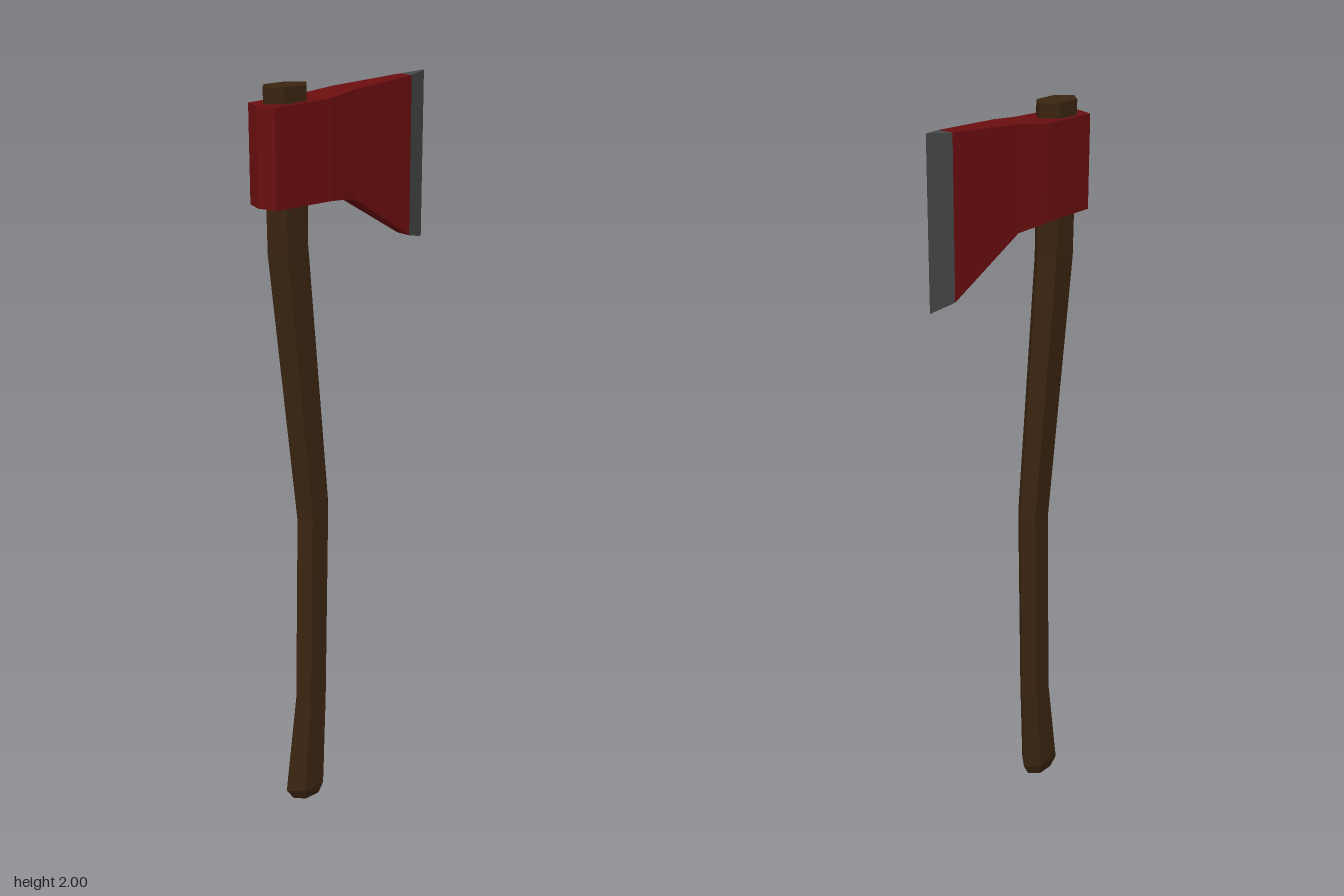
import * as THREE from 'three';

const material = (name, color) => {
  const m = new THREE.MeshStandardMaterial({ color, flatShading: true });
  m.name = name;
  return m;
};

// Faceted skin over a list of rings; rings run counter-clockwise seen from the far end.
function loft(rings, capped) {
  const pos = [];
  const tri = (a, b, c) => {
    const ab = new THREE.Vector3().subVectors(b, a);
    const ac = new THREE.Vector3().subVectors(c, a);
    if (ab.cross(ac).length() > 1e-9) for (const p of [a, b, c]) pos.push(p.x, p.y, p.z);
  };
  for (let i = 0; i < rings.length - 1; i++) {
    const lower = rings[i], upper = rings[i + 1], n = lower.length;
    for (let j = 0; j < n; j++) {
      const k = (j + 1) % n;
      tri(lower[j], lower[k], upper[k]);
      tri(lower[j], upper[k], upper[j]);
    }
  }
  if (capped) {
    const first = rings[0], last = rings[rings.length - 1];
    for (let j = 1; j < first.length - 1; j++) {
      tri(first[0], first[j + 1], first[j]);
      tri(last[0], last[j], last[j + 1]);
    }
  }
  const geometry = new THREE.BufferGeometry();
  geometry.setAttribute('position', new THREE.Float32BufferAttribute(pos, 3));
  geometry.computeVertexNormals();
  return geometry;
}

// Six-sided handle section: back and front corners in x, with flats on both sides.
function handleRing([yBack, yFront, x0, x1, half]) {
  const at = (t, z) => new THREE.Vector3(
    THREE.MathUtils.lerp(x0, x1, t), THREE.MathUtils.lerp(yBack, yFront, t), z);
  return [at(0, 0), at(0.25, half), at(0.75, half), at(1, 0), at(0.75, -half), at(0.25, -half)];
}

// Rectangular head section across x.
const headRing = ([x, low, high, half]) => [
  new THREE.Vector3(x, low, half), new THREE.Vector3(x, low, -half),
  new THREE.Vector3(x, high, -half), new THREE.Vector3(x, high, half),
];

export function createModel() {
  const wood = material('dark wood', 0x3a2410);
  const paint = material('red paint', 0x6b0e0f);
  const steel = material('steel', 0x464747);
  const group = new THREE.Group();
  group.name = 'axe';
  const add = (name, geometry, mat) => {
    const mesh = new THREE.Mesh(geometry, mat);
    mesh.name = name;
    group.add(mesh);
  };

  // Curved handle: back y, front y, back x, front x, half thickness
  add('handle', loft([
    [0.005, 0.005, -0.193, -0.098, 0.027],
    [0.04, 0.04, -0.217, -0.079, 0.037],
    [0.31, 0.31, -0.178, -0.069, 0.031],
    [0.865, 0.89, -0.165, -0.057, 0.031],
    [1.6, 1.6, -0.249, -0.119, 0.037],
    [2, 2, -0.255, -0.12, 0.038],
  ].map(handleRing), true), wood);

  // Painted head: x, lower y, upper y, half thickness
  add('head', loft([
    [-0.275, 1.717, 1.96, 0],
    [-0.26, 1.717, 1.96, 0.049],
    [-0.09, 1.717, 1.964, 0.055],
    [0, 1.707, 1.975, 0.04],
    [0.21, 1.577, 1.987, 0.022],
  ].map(headRing), false), paint);

  // Sharpened edge
  add('cuttingEdge', loft([
    [0.21, 1.577, 1.987, 0.022],
    [0.275, 1.56, 1.993, 0],
  ].map(headRing), false), steel);

  return group;
}
